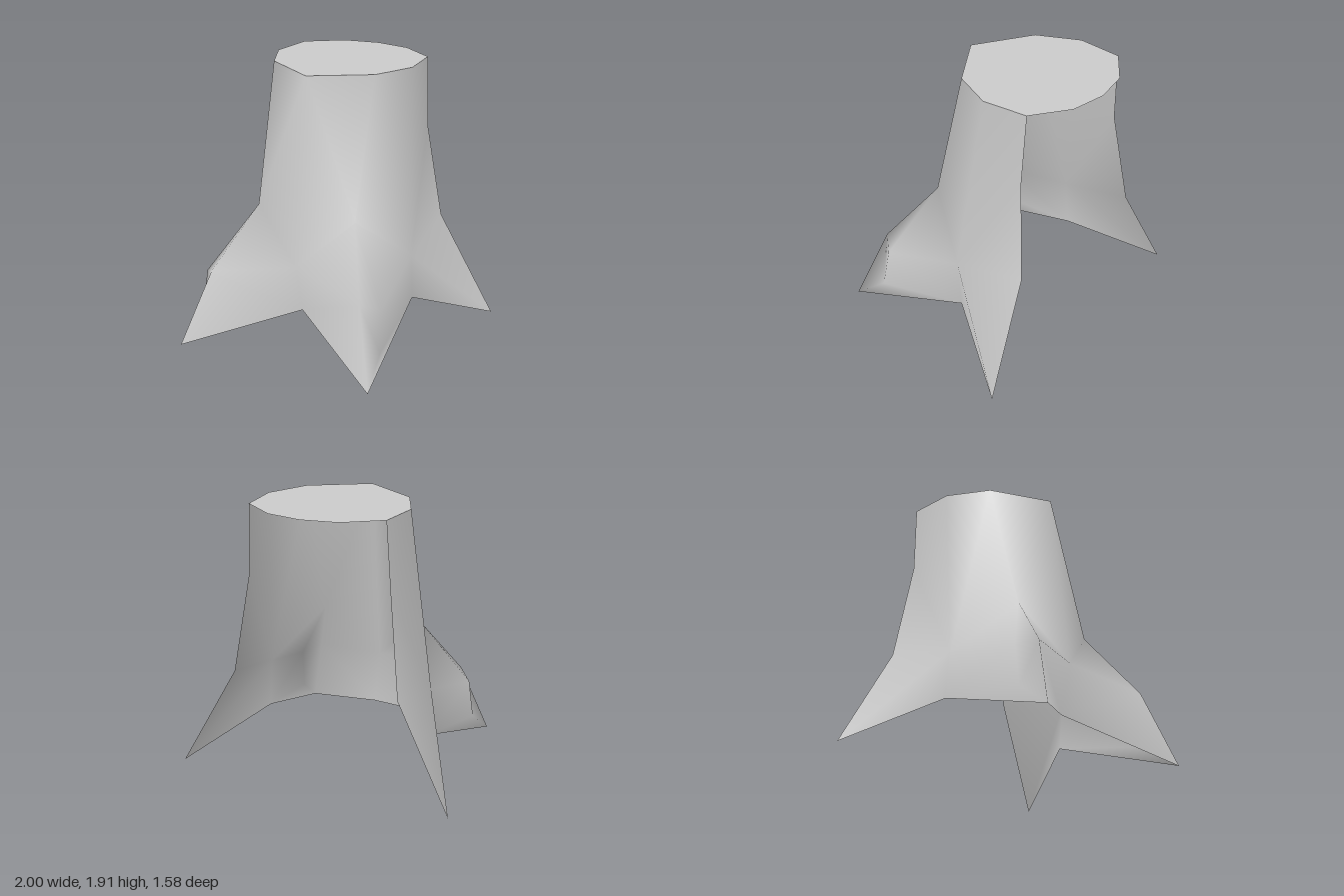
import * as THREE from 'three';
import { mergeVertices } from 'three/addons/utils/BufferGeometryUtils.js';

const HEIGHT = 1.91;

// Left half of the bark wall: columns run from the rim down to the roots.
const points = {
  // front centre line
  a0: [0, HEIGHT, 0.285], a1: [0, 0.6, 0.43], a2: [0, 0.25, 0.35],
  // ridge of the front root
  b0: [0.385, HEIGHT, 0.04], b1: [0.375, 0.95, 0.29], b2: [0.575, 0.52, 0.61], b3: [0.73, 0, 0.79],
  // outer flank of the front root
  p1: [0.68, 0.47, 0.5], p2: [0.7, 0.18, 0.55],
  // side line, between the two roots
  c0: [0.52, HEIGHT, -0.25], c1: [0.62, 0.62, -0.09], c2: [0.62, 0.29, -0.12],
  // open rear edge, ending in the back root
  d0: [0.49, HEIGHT, -0.57], d1: [0.515, 1.42, -0.55], d2: [0.605, 0.74, -0.63], d3: [1, 0.02, -0.7],
};

const faces = [
  // front
  'a0 a1 b1', 'a0 b1 b0', 'a1 b2 b1', 'a1 a2 b2', 'a2 b3 b2',
  // side, with the flank of the front root
  'b0 b1 c1', 'b0 c1 c0', 'b1 b2 p1', 'b1 p1 c1', 'b2 b3 p2', 'b2 p2 p1',
  'p1 p2 c2', 'p1 c2 c1', 'p2 b3 c2',
  // rear panel and back root
  'c0 c1 d1', 'c0 d1 d0', 'c1 d2 d1', 'c1 d3 d2', 'c1 c2 d3',
];

// Both halves in one smooth surface; the mirrored half reverses its corners.
function wallGeometry() {
  const positions = [];
  for (const side of [1, -1]) {
    for (const face of faces) {
      const corners = face.split(' ');
      if (side < 0) corners.reverse();
      for (const name of corners) {
        const [x, y, z] = points[name];
        positions.push(x * side, y, z);
      }
    }
  }
  const geometry = new THREE.BufferGeometry();
  geometry.setAttribute('position', new THREE.Float32BufferAttribute(positions, 3));
  const welded = mergeVertices(geometry);
  welded.computeVertexNormals();
  return welded;
}

// Flat cut top, which reaches back over the open rear.
function topGeometry() {
  const half = [points.c0, points.d0].map(([x, , z]) => [x, z]);
  const left = [[points.b0[0], points.b0[2]], ...half, [0.25, -0.745]];
  const right = left.map(([x, z]) => [-x, z]).reverse();
  const outline = [[0, points.a0[2]], ...left, [0, -0.79], ...right];
  const shape = new THREE.Shape(outline.map(([x, z]) => new THREE.Vector2(x, -z)));
  return new THREE.ShapeGeometry(shape).rotateX(-Math.PI / 2).translate(0, HEIGHT, 0);
}

export function createModel() {
  const group = new THREE.Group();
  group.name = 'treeStump';
  const stone = new THREE.MeshStandardMaterial({ color: 0xcccccc, side: THREE.DoubleSide });
  stone.name = 'light grey';

  const wall = new THREE.Mesh(wallGeometry(), stone);
  wall.name = 'trunkAndRoots';
  const top = new THREE.Mesh(topGeometry(), stone);
  top.name = 'cutTop';
  group.add(wall, top);
  return group;
}
